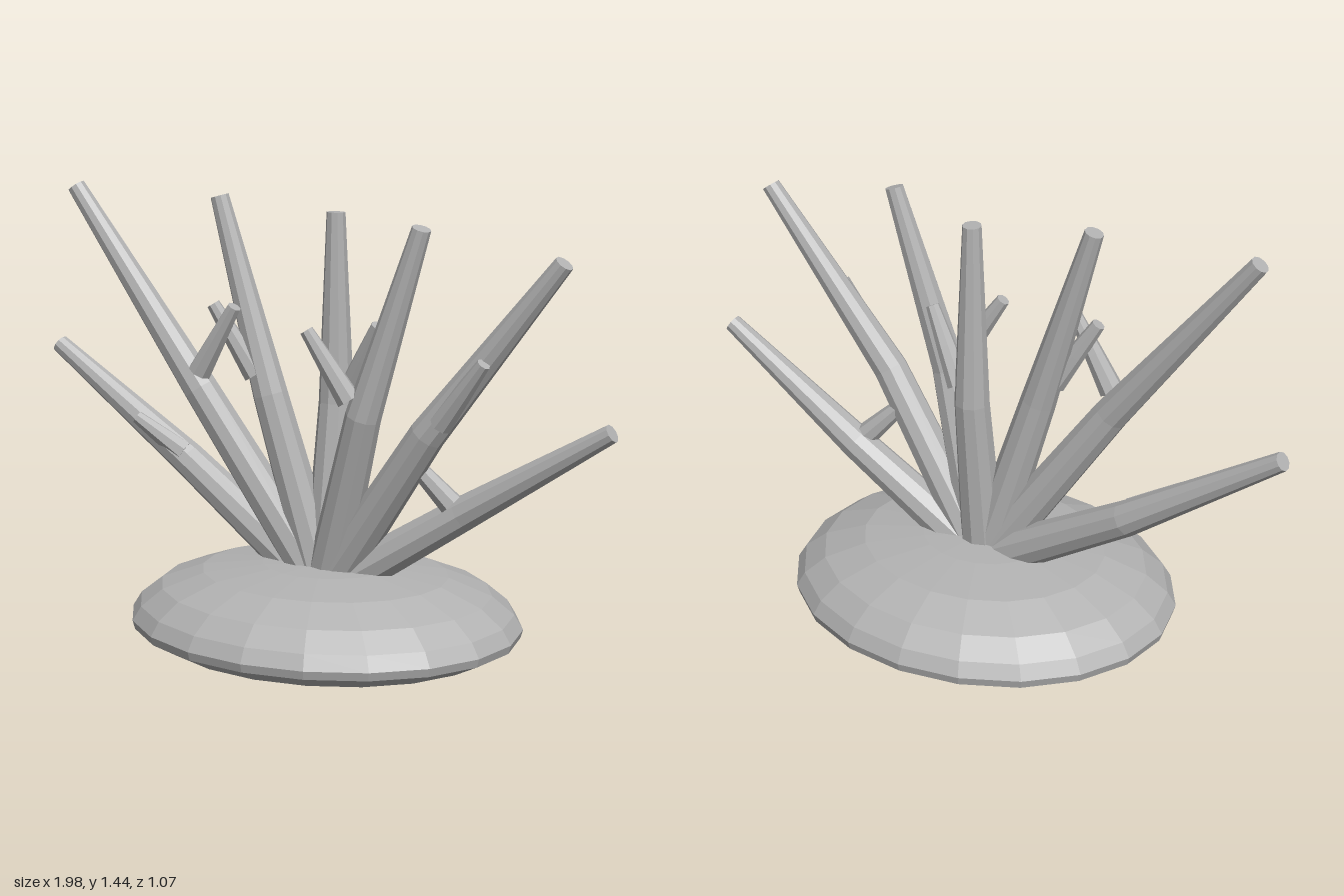
import * as THREE from 'three';

const V = (p) => new THREE.Vector3(...p);

// Tapered limb through start, middle and tip, capped at both ends
function limb(name, points, radii, sides, material) {
  const [a, m, b] = points.map(V);
  const geo = new THREE.CylinderGeometry(1, 1, 1, sides, 2);
  const turn = new THREE.Quaternion().setFromUnitVectors(
    new THREE.Vector3(0, 1, 0), b.clone().sub(a).normalize());
  const pos = geo.attributes.position;
  const v = new THREE.Vector3();
  for (let i = 0; i < pos.count; i++) {
    const k = Math.round((pos.getY(i) + 0.5) * 2);
    v.set(pos.getX(i) * radii[k], 0, pos.getZ(i) * radii[k]);
    v.applyQuaternion(turn).add([a, m, b][k]);
    pos.setXYZ(i, v.x, v.y, v.z);
  }
  geo.computeVertexNormals();
  const mesh = new THREE.Mesh(geo, material);
  mesh.name = name;
  return mesh;
}

export function createModel() {
  const group = new THREE.Group();
  group.name = 'branchingCoral';
  const stone = new THREE.MeshStandardMaterial({ color: 0xb2b2b2, flatShading: true });
  stone.name = 'grey';

  // Flattened oval base
  const profile = [[0, 0.005], [0.535, 0.055], [0.62, 0.098], [0.628, 0.125],
    [0.6, 0.17], [0.53, 0.225], [0.395, 0.275], [0.2, 0.298], [0, 0.305]];
  const base = new THREE.Mesh(
    new THREE.LatheGeometry(profile.map((p) => new THREE.Vector2(...p)), 20), stone);
  base.scale.z = 0.85;
  base.position.x = 0.04;
  base.name = 'base';
  group.add(base);

  // Main branches: middle and tip, all fanning out from one root
  const root = [0.04, 0.21, 0];
  const branches = [
    [[-0.49, 0.555, -0.075], [-0.975, 0.89, -0.075]],
    [[-0.37, 0.82, 0.05], [-0.825, 1.425, 0.037]],
    [[-0.14, 0.82, 0.02], [-0.32, 1.42, 0.01]],
    [[0.05, 0.8, -0.055], [0.05, 1.385, -0.05]],
    [[0.22, 0.8, 0.1], [0.405, 1.375, 0.097]],
    [[0.42, 0.76, 0.075], [0.84, 1.3, 0.07]],
    [[0.5, 0.51, -0.01], [0.975, 0.81, 0.012]],
  ];
  for (const [mid, tip] of branches) {
    group.add(limb('branch', [root, mid, tip], [0.07, 0.055, 0.029], 10, stone));
  }

  // Short side twigs: start and tip
  const twigs = [
    [[-0.5, 0.58, -0.06], [-0.655, 0.685, -0.03]],
    [[-0.355, 0.88, 0.08], [-0.225, 1.095, 0.09]],
    [[-0.18, 0.88, 0.04], [-0.31, 1.095, 0.072]],
    [[0.185, 0.85, 0.125], [0.055, 1.055, 0.15]],
    [[0.1, 0.84, -0.045], [0.22, 1.06, 0.004]],
    [[0.47, 0.8, 0.095], [0.62, 1.0, 0.125]],
    [[0.47, 0.54, 0.01], [0.33, 0.69, 0.045]],
  ];
  for (const [start, tip] of twigs) {
    const mid = start.map((s, i) => (s + tip[i]) / 2);
    group.add(limb('twig', [start, mid, tip], [0.038, 0.03, 0.021], 8, stone));
  }
  return group;
}
